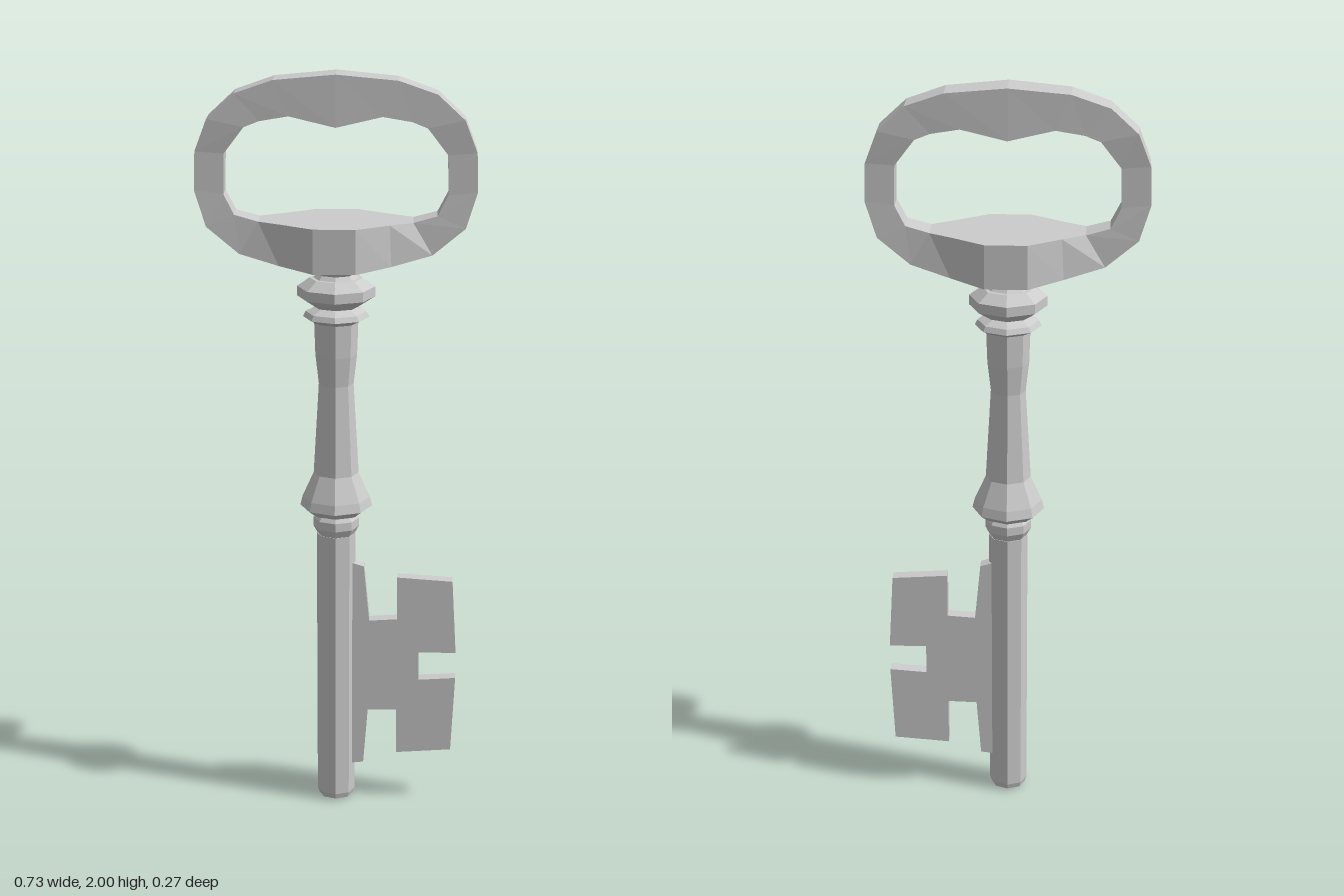
import * as THREE from 'three';

const material = new THREE.MeshStandardMaterial({ color: 0xcccccc, flatShading: true });

function addPart(group, name, geometry) {
  const mesh = new THREE.Mesh(geometry, material);
  mesh.name = name;
  group.add(mesh);
  return mesh;
}

// Closed ring of rectangular sections, each [outerX, outerY, innerX, innerY, halfDepth]
function bowGeometry(half) {
  const mirrored = half
    .filter((s) => s[0] > 0)
    .reverse()
    .map(([ox, oy, ix, iy, d]) => [-ox, oy, -ix, iy, d]);
  const sections = [...half, ...mirrored];
  const positions = [];
  const indices = [];
  for (const [ox, oy, ix, iy, d] of sections) {
    positions.push(ox, oy, d, ox, oy, -d, ix, iy, -d, ix, iy, d);
  }
  const n = sections.length;
  for (let i = 0; i < n; i++) {
    const a = i * 4;
    const b = ((i + 1) % n) * 4;
    for (let k = 0; k < 4; k++) {
      const l = (k + 1) % 4;
      indices.push(a + k, a + l, b + l, a + k, b + l, b + k);
    }
  }
  const geometry = new THREE.BufferGeometry();
  geometry.setAttribute('position', new THREE.Float32BufferAttribute(positions, 3));
  geometry.setIndex(indices);
  const flat = geometry.toNonIndexed();
  flat.computeVertexNormals();
  return flat;
}

export function createModel() {
  const key = new THREE.Group();
  key.name = 'key';

  const lathe = (name, profile) =>
    addPart(key, name, new THREE.LatheGeometry(profile.map(([r, y]) => new THREE.Vector2(r, y)), 8));

  // Straight lower shaft
  lathe('shaft', [[0, 0], [0.046, 0.005], [0.051, 0.02], [0.052, 0.765], [0, 0.765]]);

  // Small collar and flared foot of the stem
  lathe('collar', [[0, 0.755], [0.046, 0.757], [0.061, 0.785], [0.061, 0.808], [0.045, 0.83], [0, 0.83]]);

  // Waisted stem
  lathe('stem', [
    [0, 0.822], [0.07, 0.824], [0.096, 0.843], [0.09, 0.868], [0.06, 0.935],
    [0.046, 1.18], [0.055, 1.26], [0.058, 1.35], [0, 1.352],
  ]);

  // Turned rings under the bow
  lathe('thinRing', [[0, 1.342], [0.055, 1.346], [0.087, 1.362], [0.08, 1.376], [0.055, 1.388], [0, 1.39]]);
  lathe('bead', [[0, 1.382], [0.06, 1.39], [0.102, 1.417], [0.102, 1.443], [0.07, 1.466], [0, 1.468]]);
  lathe('neck', [[0, 1.46], [0.062, 1.464], [0.05, 1.477], [0.07, 1.5], [0.07, 1.515], [0, 1.515]]);

  // Oval bow, widening into a thick pad at the bottom
  addPart(key, 'bow', bowGeometry([
    [0.055, 1.503, 0.055, 1.62, 0.136],
    [0.145, 1.512, 0.14, 1.62, 0.077],
    [0.25, 1.535, 0.2, 1.62, 0.04],
    [0.335, 1.605, 0.262, 1.637, 0.037],
    [0.365, 1.7, 0.289, 1.69, 0.034],
    [0.362, 1.8, 0.287, 1.795, 0.034],
    [0.33, 1.885, 0.235, 1.864, 0.041],
    [0.26, 1.95, 0.195, 1.88, 0.041],
    [0.16, 1.985, 0.12, 1.893, 0.044],
    [0, 2, 0, 1.865, 0.047],
  ]));

  // Notched bit on the left side of the shaft
  const outline = [
    [0.03, 0.1], [0.075, 0.105], [0.087, 0.26], [0.165, 0.262], [0.165, 0.135], [0.314, 0.146],
    [0.325, 0.357], [0.225, 0.35], [0.225, 0.43], [0.325, 0.43], [0.314, 0.635], [0.165, 0.645],
    [0.165, 0.525], [0.09, 0.52], [0.075, 0.675], [0.03, 0.69],
  ];
  const bitShape = new THREE.Shape(outline.map(([x, y]) => new THREE.Vector2(x, y)));
  const bit = new THREE.ExtrudeGeometry(bitShape, { depth: 0.036, bevelEnabled: false });
  bit.translate(0, 0, -0.018);
  addPart(key, 'bit', bit);

  return key;
}
